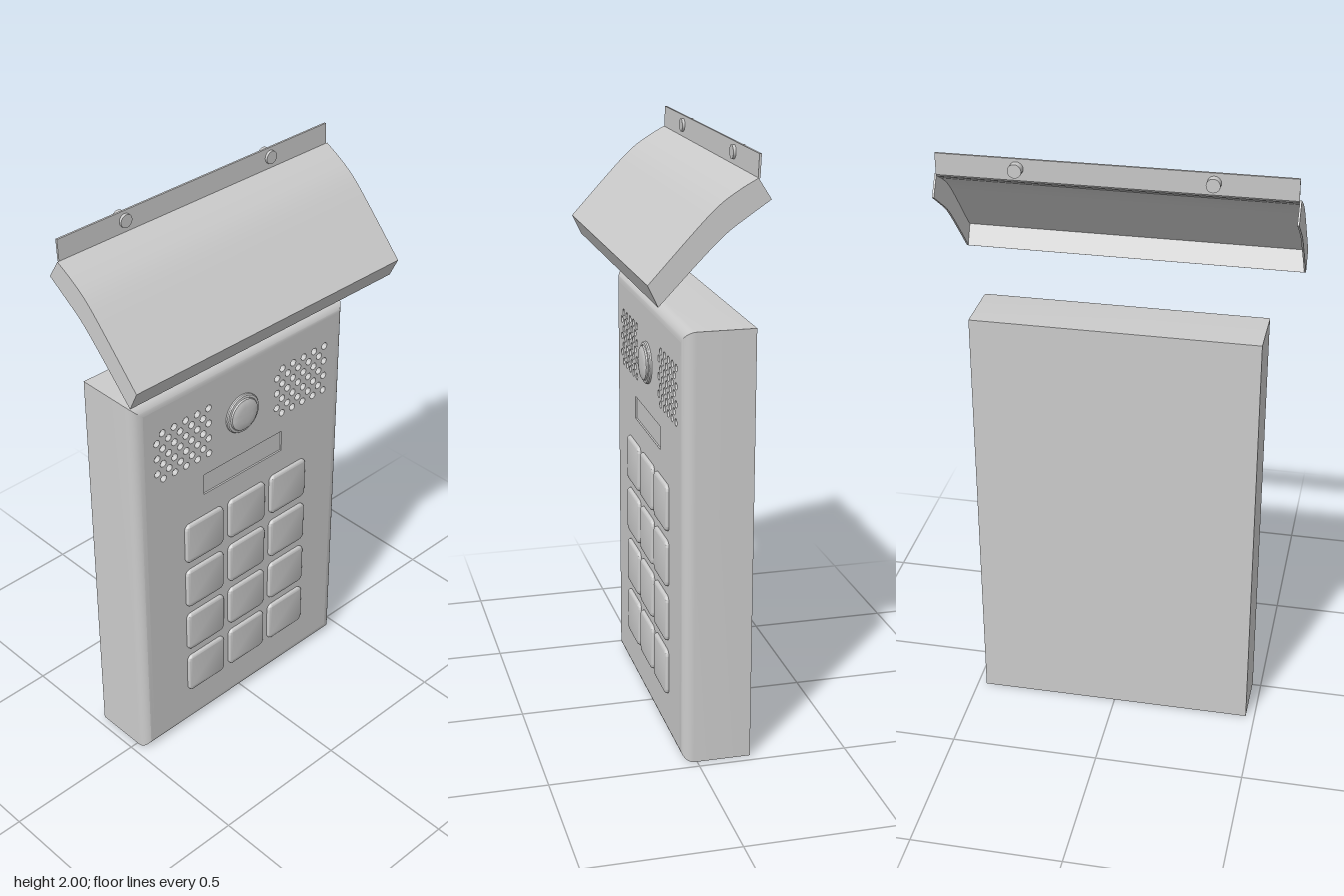
import * as THREE from 'three';
import { toCreasedNormals } from 'three/addons/utils/BufferGeometryUtils.js';

const material = new THREE.MeshStandardMaterial({ color: 0xcccccc });
const sheetMaterial = new THREE.MeshStandardMaterial({ color: 0xcccccc, side: THREE.DoubleSide });

const HALF_W = 0.47, HEIGHT = 1.455, BACK = -0.18, FACE = 0.05, ROUND = 0.04;

function add(parent, name, geometry, mat = material) {
  const mesh = new THREE.Mesh(geometry, mat);
  mesh.name = name;
  parent.add(mesh);
  return mesh;
}

// The panel is drawn in (u, v, w) and turned so that w points along +x and u along -z.
const turn = (geometry) => geometry.rotateY(Math.PI / 2);

function rectPath(Type, u0, v0, u1, v1) {
  const p = new Type();
  p.moveTo(u0, v0).lineTo(u1, v0).lineTo(u1, v1).lineTo(u0, v1).closePath();
  return p;
}

function roundedRect(w, h, r) {
  const s = new THREE.Shape(), a = w / 2, b = h / 2;
  s.absarc(a - r, b - r, r, 0, Math.PI / 2);
  s.absarc(-a + r, b - r, r, Math.PI / 2, Math.PI);
  s.absarc(-a + r, -b + r, r, Math.PI, Math.PI * 1.5);
  s.absarc(a - r, -b + r, r, Math.PI * 1.5, Math.PI * 2);
  return s;
}

// Housing walls: rectangular loops shrinking round the front edge, plus the back
function housingGeometry() {
  const rings = [[BACK, 0]];
  for (let i = 0; i <= 8; i++) {
    const a = (i / 8) * Math.PI / 2;
    rings.push([FACE - ROUND + ROUND * Math.sin(a), ROUND * (1 - Math.cos(a))]);
  }
  const corner = ([w, inset], k) => {
    const u = (HALF_W - inset) * (k === 0 || k === 3 ? -1 : 1);
    return [u, k < 2 ? inset : HEIGHT - inset, w];
  };
  const pos = [];
  const quad = (a, b, c, d) => pos.push(...a, ...b, ...c, ...a, ...c, ...d);
  for (let i = 0; i < rings.length - 1; i++) {
    for (let k = 0; k < 4; k++) {
      const n = (k + 1) % 4;
      quad(corner(rings[i], k), corner(rings[i], n), corner(rings[i + 1], n), corner(rings[i + 1], k));
    }
  }
  quad(...[3, 2, 1, 0].map((k) => corner(rings[0], k)));
  const g = new THREE.BufferGeometry();
  g.setAttribute('position', new THREE.Float32BufferAttribute(pos, 3));
  return turn(toCreasedNormals(g, 0.5));
}

// Front plate with speaker holes and a shallow display window
function addFacePlate(panel) {
  const plate = rectPath(THREE.Shape, -HALF_W + ROUND, ROUND, HALF_W - ROUND, HEIGHT - ROUND);
  for (const startU of [-0.378, 0.152]) {
    for (let row = 0; row < 7; row++) {
      for (let col = 0; col < 5; col++) {
        const hole = new THREE.Path();
        const u = startU + col * 0.0493 + (row % 2 ? 0 : 0.0245);
        hole.absarc(u, 1.142 + row * 0.0295, 0.0125, 0, Math.PI * 2, true);
        plate.holes.push(hole);
      }
    }
    const floor = add(panel, 'speakerBacking', turn(new THREE.PlaneGeometry(0.28, 0.24)));
    floor.position.set(FACE - 0.018, 1.23, -(startU + 0.111));
  }
  plate.holes.push(rectPath(THREE.Path, -0.18, 0.987, 0.177, 1.066));
  const g = new THREE.ExtrudeGeometry(plate, { depth: 0.02, bevelEnabled: false, curveSegments: 6 });
  g.translate(0, 0, FACE - 0.02);
  add(panel, 'facePlate', turn(g));
  const display = add(panel, 'displayWindow', turn(new THREE.PlaneGeometry(0.37, 0.09)));
  display.position.set(FACE - 0.006, 1.0265, 0);
}

// Keypad: four rows of three cushioned keys
function addKeypad(panel) {
  const g = new THREE.ExtrudeGeometry(roundedRect(0.152, 0.142, 0.012), {
    depth: 0.01, bevelThickness: 0.009, bevelSize: 0.009, bevelSegments: 4, curveSegments: 5,
  });
  const keyGeometry = turn(toCreasedNormals(g, 0.6));
  const keypad = new THREE.Group();
  keypad.name = 'keypad';
  for (let row = 0; row < 4; row++) {
    for (let col = 0; col < 3; col++) {
      const key = add(keypad, 'key', keyGeometry);
      key.position.set(FACE - 0.007, 0.822 - row * 0.194, 0.185 - col * 0.195);
    }
  }
  panel.add(keypad);
}

// Round call button: a collar with a low domed cap
function addCallButton(panel) {
  const profile = [[0.071, 0], [0.071, 0.006], [0.068, 0.01], [0.06, 0.011], [0.058, 0.009],
    [0.057, 0.016], [0.052, 0.019], [0.03, 0.021], [0, 0.022]];
  const lathe = new THREE.LatheGeometry(profile.map(([r, y]) => new THREE.Vector2(r, y)), 40);
  const button = add(panel, 'callButton', toCreasedNormals(lathe, 0.6).rotateZ(-Math.PI / 2));
  button.position.set(FACE, 1.232, 0.01);
}

// Rain hood: bent sheet with mounting flange, curved roof, front lip and side flaps
function createHood() {
  const hood = new THREE.Group();
  hood.name = 'rainHood';
  const halfWidth = 0.558, thick = 0.007;
  const v2 = (p) => new THREE.Vector2(p[0], p[1]);
  const curve = (pts) => new THREE.SplineCurve(pts.map(v2)).getPoints(20);
  const roof = curve([[-0.147, 1.93], [-0.09, 1.898], [-0.03, 1.856], [0.04, 1.787], [0.186, 1.629]]);
  const under = curve([[-0.188, 1.866], [-0.12, 1.82], [-0.053, 1.772], [0.02, 1.702], [0.154, 1.562]]);

  // Sheet outline: centre line doubled with an inward offset
  const line = [v2([-0.15, 2]), ...roof, v2([0.154, 1.562])];
  const inner = line.map((p, i) => {
    const a = line[Math.max(i - 1, 0)], b = line[Math.min(i + 1, line.length - 1)];
    const d = b.clone().sub(a).normalize();
    return new THREE.Vector2(p.x + d.y * thick, p.y - d.x * thick);
  });
  const sheet = new THREE.ExtrudeGeometry(new THREE.Shape([...line, ...inner.reverse()]),
    { depth: halfWidth * 2, bevelEnabled: false });
  sheet.translate(0, 0, -halfWidth);
  add(hood, 'hoodSheet', toCreasedNormals(sheet, 0.4), sheetMaterial);

  for (const side of [1, -1]) {
    const flap = new THREE.ExtrudeGeometry(new THREE.Shape([...roof, ...under.slice().reverse()]),
      { depth: 0.006, bevelEnabled: false });
    flap.translate(0, 0, side * (halfWidth + 0.003) - 0.003);
    add(hood, side > 0 ? 'leftFlapFront' : 'rightFlapFront', flap, sheetMaterial).name = 'sideFlap';

    // Mounting screws through the flange
    const screw = add(hood, 'mountingScrew', new THREE.CylinderGeometry(0.022, 0.022, 0.042, 24).rotateZ(Math.PI / 2));
    screw.position.set(-0.161, 1.968, side * 0.303);
  }
  return hood;
}

export function createModel() {
  const model = new THREE.Group();
  model.name = 'doorEntryPanel';
  const panel = new THREE.Group();
  panel.name = 'panel';
  add(panel, 'housing', housingGeometry());
  addFacePlate(panel);
  addKeypad(panel);
  addCallButton(panel);
  model.add(panel, createHood());
  return model;
}
